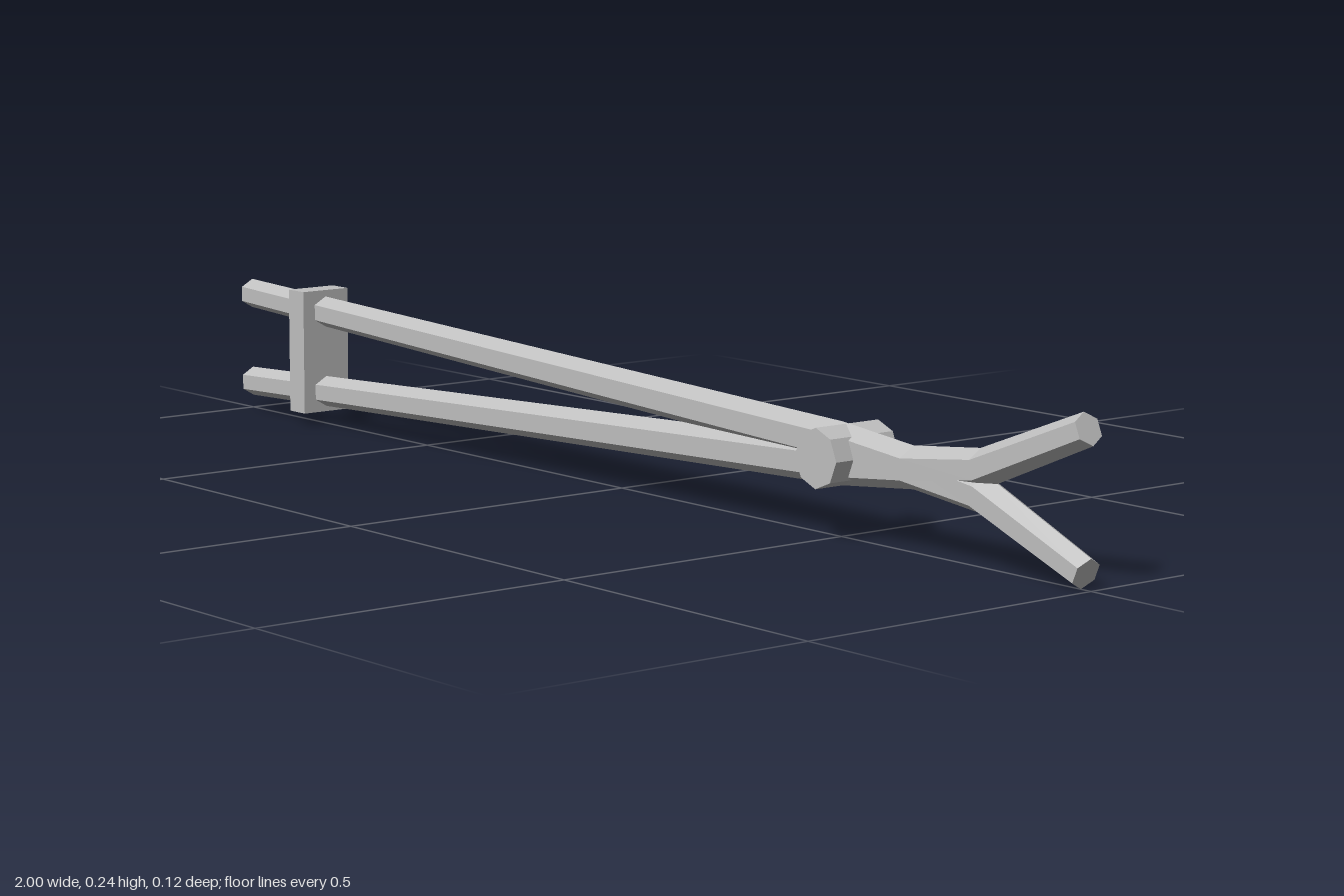
import * as THREE from 'three';

const MID = 0.12; // height of the pivot axis

// Hexagonal bar swept through stations [x, height above pivot, radius, tilt]
function hexBar(stations) {
  const n = stations.length - 1;
  const geo = new THREE.CylinderGeometry(1, 1, 1, 6, n);
  const p = geo.attributes.position;
  for (let i = 0; i < p.count; i++) {
    const [x, y, r, tilt] = stations[Math.round((p.getY(i) + 0.5) * n)];
    const up = p.getZ(i) * r;
    p.setXYZ(i, x - up * Math.sin(tilt), y + up * Math.cos(tilt), p.getX(i) * r);
  }
  const flat = geo.toNonIndexed();
  flat.computeVertexNormals();
  return flat;
}

export function createModel() {
  const iron = new THREE.MeshStandardMaterial({ color: 0xbfbfbf, flatShading: true });
  iron.name = 'grey iron';

  const tongs = new THREE.Group();
  tongs.name = 'tongs';
  tongs.position.y = MID;
  const add = (name, geometry) => {
    const mesh = new THREE.Mesh(geometry, iron);
    mesh.name = name;
    tongs.add(mesh);
    return mesh;
  };

  // Two matching arms: long handle, narrow waist, splayed jaw
  const arm = hexBar([
    [-0.999, 0.075, 0.024, -0.03],
    [0.5, 0.015, 0.031, -0.05],
    [0.65, 0.0, 0.031, 0],
    [0.79, 0.018, 0.028, 0.22],
    [0.99, 0.098, 0.024, 0.4],
  ]);
  add('upperArm', arm);
  add('lowerArm', arm).rotation.x = Math.PI;

  // Eight-sided pivot pin through the arms
  const pin = new THREE.CylinderGeometry(0.044, 0.044, 0.118, 8);
  pin.rotateX(Math.PI / 2);
  add('pivotPin', pin).position.x = 0.51;

  // Clamp block across the handles
  add('handleClamp', new THREE.BoxGeometry(0.042, 0.202, 0.088)).position.set(-0.803, 0.001, 0);

  const model = new THREE.Group();
  model.name = 'model';
  model.add(tongs);
  return model;
}
